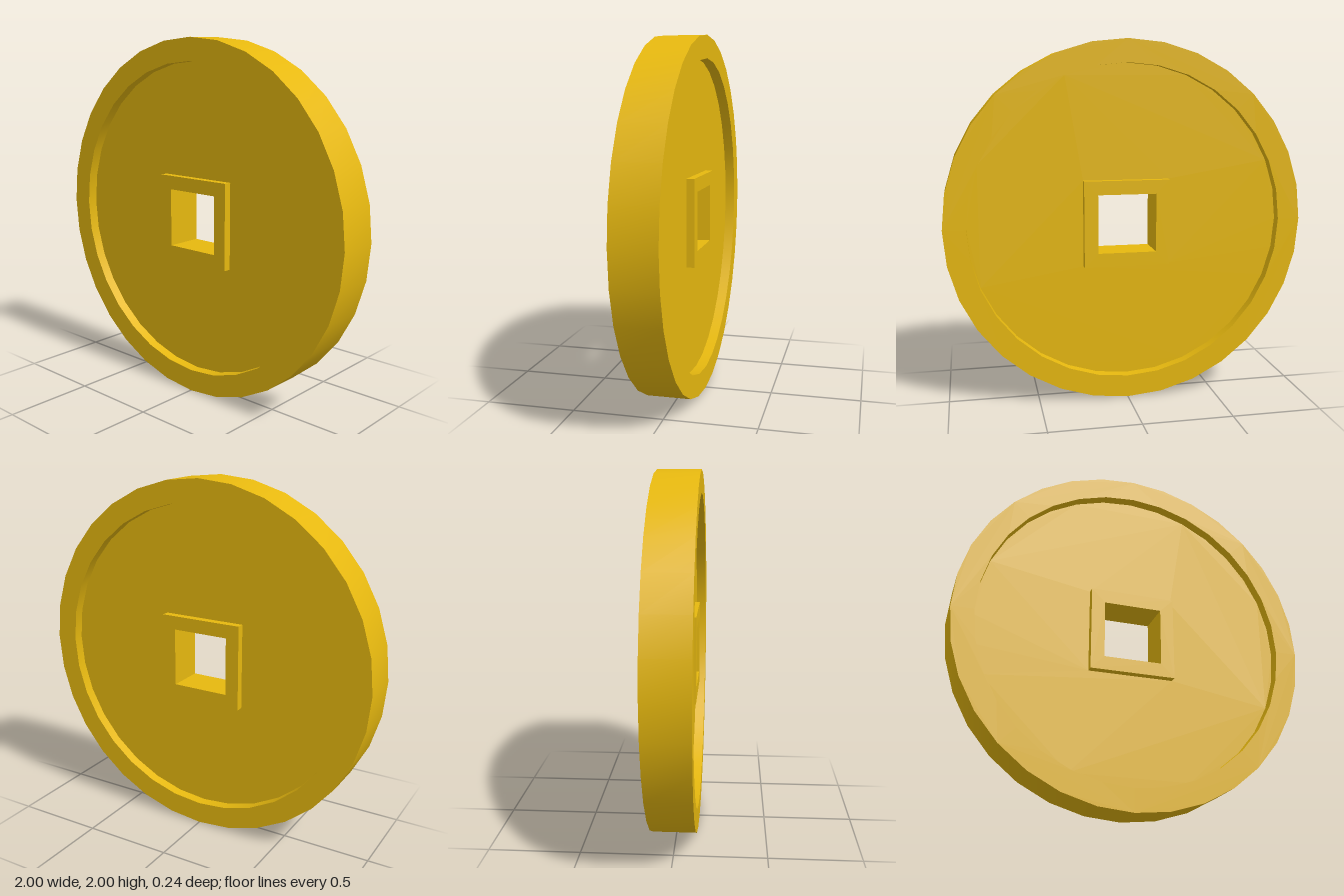
import * as THREE from 'three';
import { toCreasedNormals } from 'three/addons/utils/BufferGeometryUtils.js';

const SIDES = 32;

// Points of a 32-sided circle
function circle(r) {
  return Array.from({ length: SIDES }, (_, i) => {
    const a = (i / SIDES) * Math.PI * 2;
    return new THREE.Vector2(r * Math.cos(a), r * Math.sin(a));
  });
}

// Points of a square with half-width h
function square(h) {
  return [[-h, -h], [h, -h], [h, h], [-h, h]].map(([x, y]) => new THREE.Vector2(x, y));
}

// Flat plate with one opening, centred on z = 0
function plate(name, outline, opening, halfDepth, material) {
  const shape = new THREE.Shape(outline);
  shape.holes.push(new THREE.Path(opening));
  const geometry = new THREE.ExtrudeGeometry(shape, { depth: halfDepth * 2, bevelEnabled: false });
  geometry.translate(0, 1, -halfDepth);
  const mesh = new THREE.Mesh(toCreasedNormals(geometry, 0.5), material);
  mesh.name = name;
  return mesh;
}

export function createModel() {
  const group = new THREE.Group();
  group.name = 'coin';
  const gold = new THREE.MeshStandardMaterial({ color: 0xe6b80f });

  group.add(
    // Raised outer rim
    plate('rim', circle(1), circle(0.875), 0.12, gold),
    // Recessed face on both sides
    plate('face', circle(0.875), square(0.24), 0.062, gold),
    // Raised frame around the square hole
    plate('holeFrame', square(0.24), square(0.163), 0.105, gold)
  );
  return group;
}
